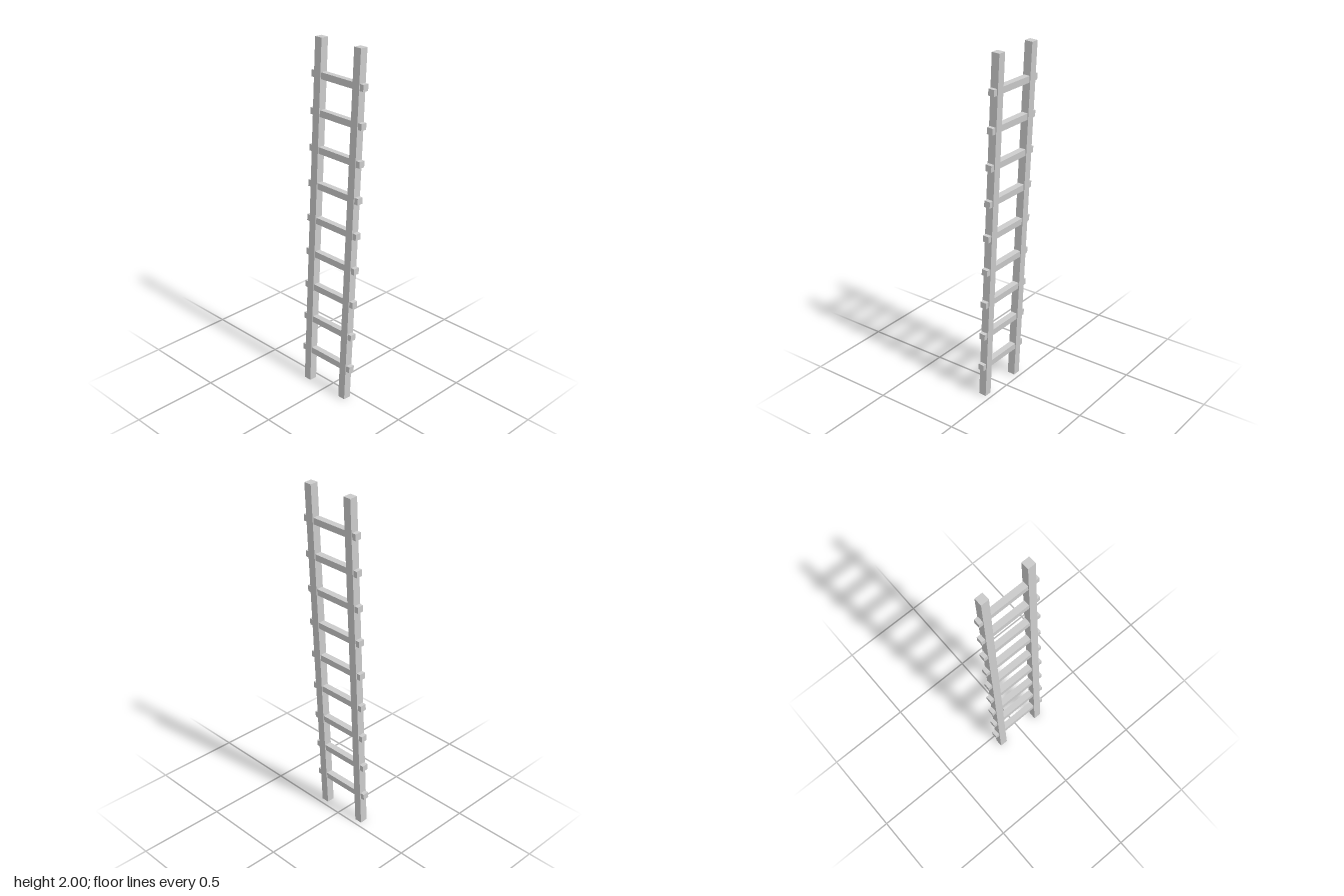
import * as THREE from 'three';

export function createModel() {
  const material = new THREE.MeshStandardMaterial({ color: 0xcccccc, flatShading: true });
  const ladder = new THREE.Group();
  ladder.name = 'ladder';

  const tilt = THREE.MathUtils.degToRad(3);
  const railLength = 2, railSize = 0.046, railZ = 0.1365;
  const rungCount = 9, rungSpacing = 0.201, rungSize = 0.036, rungLength = 0.366;

  function addBox(name, size, y, z) {
    const mesh = new THREE.Mesh(new THREE.BoxGeometry(...size), material);
    mesh.name = name;
    mesh.position.set(0, y, z);
    ladder.add(mesh);
  }

  // Two square side rails
  for (const side of [1, -1]) {
    addBox(side > 0 ? 'frontRail' : 'backRail', [railSize, railLength, railSize], 0, side * railZ);
  }

  // Square rungs whose ends poke out through the rails
  for (let i = 0; i < rungCount; i++) {
    addBox(`rung${i + 1}`, [rungSize, rungSize, rungLength], (i - (rungCount - 1) / 2) * rungSpacing, 0);
  }

  // Lean the whole ladder towards +x
  ladder.rotation.z = -tilt;
  ladder.position.y = 1;

  const model = new THREE.Group();
  model.name = 'leaningLadder';
  model.add(ladder);
  return model;
}
